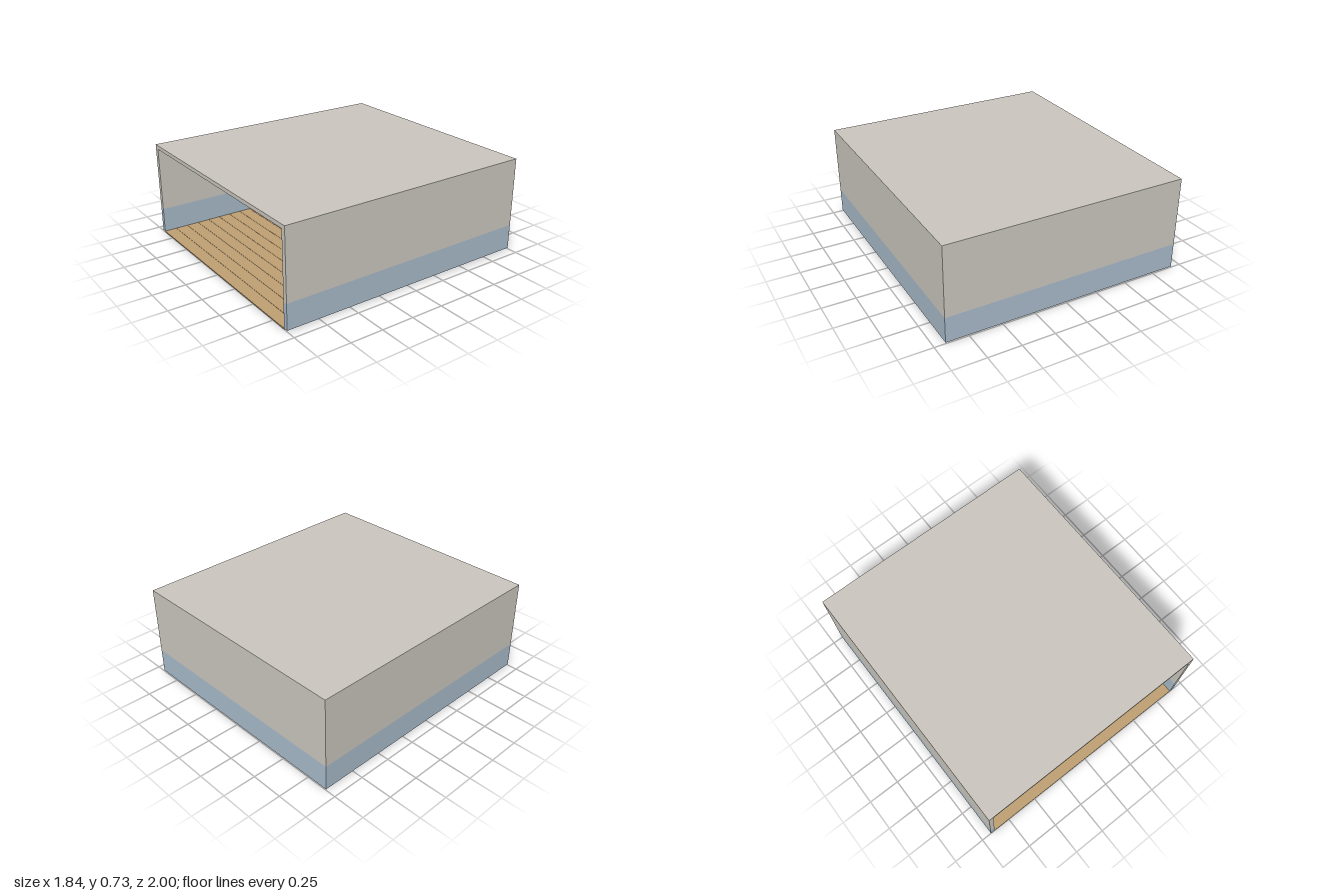
import * as THREE from 'three';

const HALF_X = 0.92, HALF_Z = 1, WALL = 0.035;
const BASE = 0.008, SPLIT = 0.2, CEILING = 0.7, TOP = 0.73;

export function createModel() {
  const room = new THREE.Group();
  room.name = 'room';
  const plaster = new THREE.MeshStandardMaterial({ color: 0xcac6be, name: 'warm grey plaster' });
  const blue = new THREE.MeshStandardMaterial({ color: 0xa7bac9, name: 'pale blue paint' });
  const wood = new THREE.MeshStandardMaterial({ color: 0xbe9f72, name: 'oak wood' });

  const add = (name, geometry, material, x, y, z, parent = room) => {
    const mesh = new THREE.Mesh(geometry, material);
    mesh.name = name;
    mesh.position.set(x, y, z);
    parent.add(mesh);
  };
  const innerX = HALF_X - WALL, innerBack = -HALF_Z + WALL;

  // Plan of the two side walls and back wall, open at the front (shape y = -z)
  const plan = new THREE.Shape([
    [-HALF_X, -HALF_Z], [-innerX, -HALF_Z], [-innerX, -innerBack], [innerX, -innerBack],
    [innerX, -HALF_Z], [HALF_X, -HALF_Z], [HALF_X, HALF_Z], [-HALF_X, HALF_Z],
  ].map(([x, y]) => new THREE.Vector2(x, y)));
  const walls = (height) =>
    new THREE.ExtrudeGeometry(plan, { depth: height, bevelEnabled: false }).rotateX(-Math.PI / 2);

  add('lowerWalls', walls(SPLIT - BASE), blue, 0, BASE, 0);
  add('upperWalls', walls(CEILING - SPLIT), plaster, 0, SPLIT, 0);

  // Flat roof
  add('roof', new THREE.BoxGeometry(HALF_X * 2, TOP - CEILING, HALF_Z * 2), plaster,
    0, (TOP + CEILING) / 2, 0);

  // Rail where the two wall colours meet on the back wall
  add('backRail', new THREE.BoxGeometry(innerX * 2, 0.015, 0.01), wood,
    0, 0.195, innerBack + 0.005);

  // Floor planks laid across the room, stopping just short of the back wall
  const floor = new THREE.Group();
  floor.name = 'floor';
  room.add(floor);
  const count = 20, pitch = 1.94 / count, gap = 0.002;
  const plank = new THREE.BoxGeometry(innerX * 2, BASE, pitch - gap);
  for (let i = 0; i < count; i++) {
    add('plank', plank, wood, 0, BASE / 2, HALF_Z - pitch * (i + 0.5) + gap / 2, floor);
  }
  return room;
}
